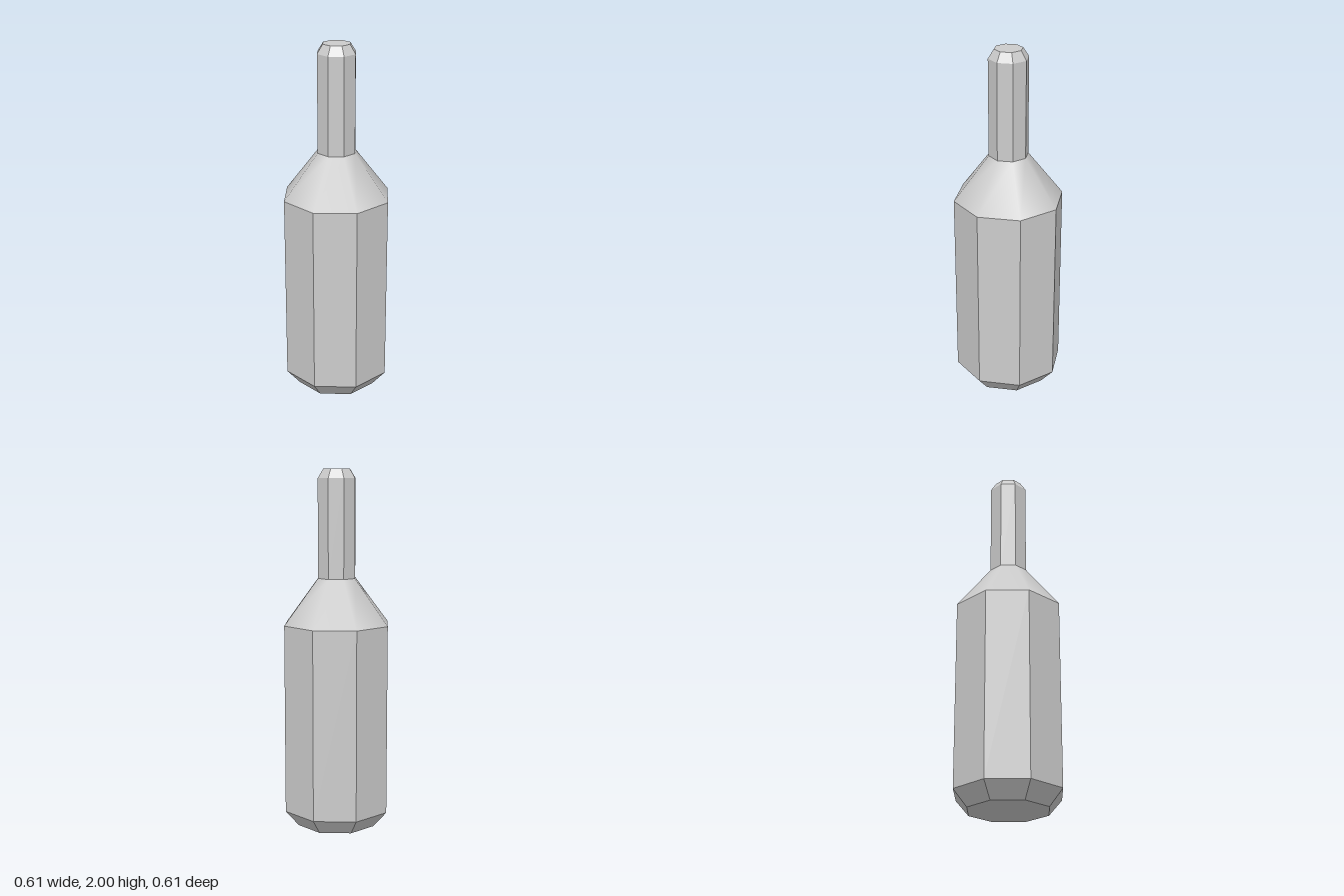
import * as THREE from 'three';

const SIDES = 8;

export function createModel() {
  const group = new THREE.Group();
  const flat = new THREE.MeshStandardMaterial({ color: 0xcccccc, flatShading: true });
  const smooth = new THREE.MeshStandardMaterial({ color: 0xcccccc });

  // One open eight-sided ring between two heights
  function ring(name, y0, r0, y1, r1, material = flat) {
    const geometry = new THREE.CylinderGeometry(r1, r0, y1 - y0, SIDES, 1, true);
    geometry.translate(0, (y0 + y1) / 2, 0);
    const mesh = new THREE.Mesh(geometry, material);
    mesh.name = name;
    group.add(mesh);
  }

  // Flat octagonal end, facing up (1) or down (-1)
  function cap(name, y, r, facing) {
    const geometry = new THREE.CircleGeometry(r, SIDES);
    geometry.rotateX(-facing * Math.PI / 2);
    geometry.translate(0, y, 0);
    const mesh = new THREE.Mesh(geometry, flat);
    mesh.name = name;
    group.add(mesh);
  }

  // Bottle, from the base upwards; only the shoulder is smooth shaded
  cap('base', 0, 0.23, -1);
  ring('baseBevel', 0, 0.23, 0.09, 0.307);
  ring('body', 0.09, 0.307, 1.15, 0.307);
  ring('shoulder', 1.15, 0.307, 1.405, 0.11, smooth);
  ring('neck', 1.405, 0.11, 1.95, 0.11);
  ring('lipBevel', 1.95, 0.11, 2, 0.078);
  cap('top', 2, 0.078, 1);

  return group;
}
